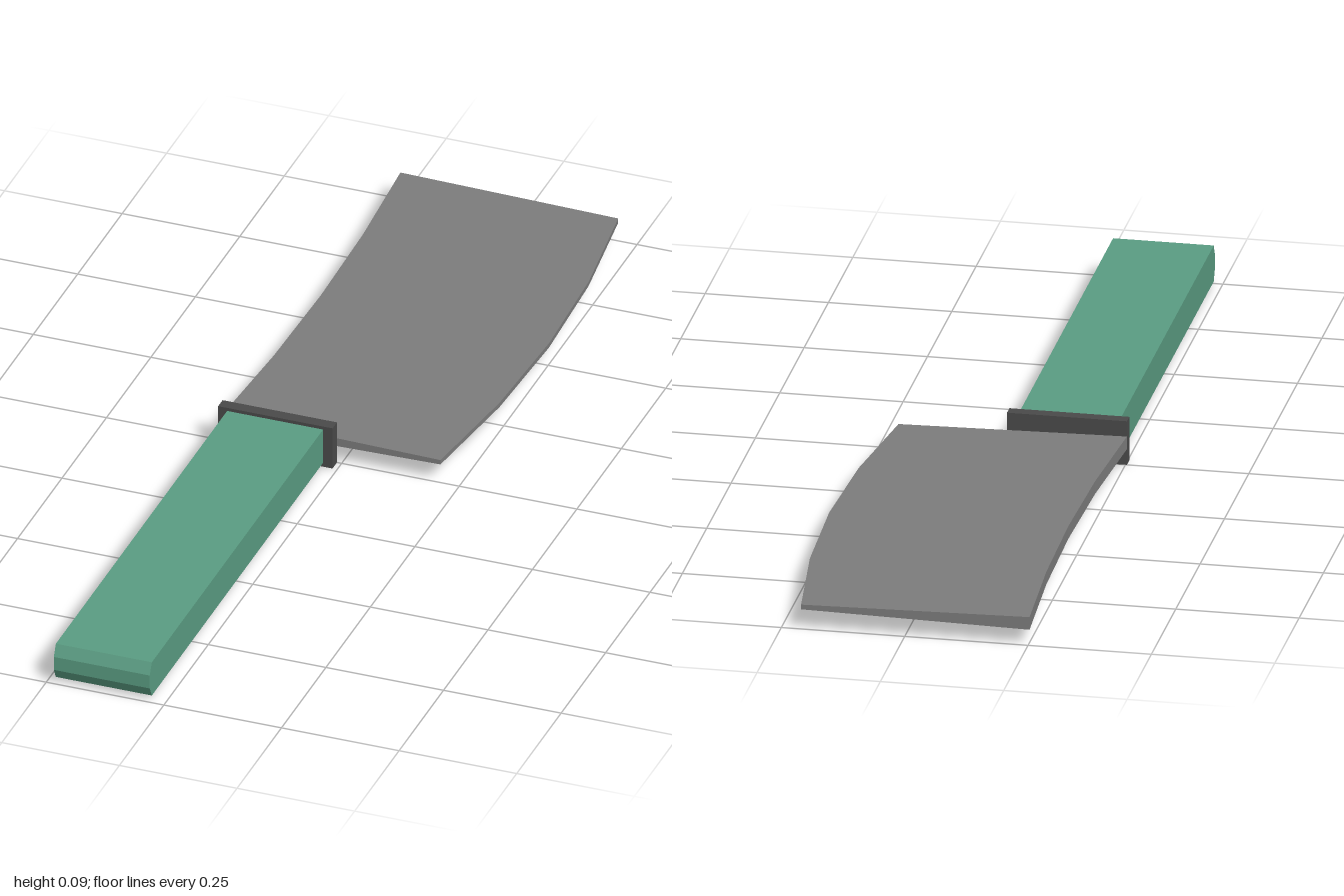
import * as THREE from 'three';

const material = (color) => new THREE.MeshStandardMaterial({ color, flatShading: true });

function part(name, geometry, color) {
  const mesh = new THREE.Mesh(geometry, material(color));
  mesh.name = name;
  return mesh;
}

// Blade: a box bent sideways along its length and tapered from spine to cutting edge
function bladeGeometry() {
  const midY = 0.047;
  const geometry = new THREE.BoxGeometry(1, 1, 1, 1, 1, 4);
  const p = geometry.attributes.position;
  for (let i = 0; i < p.count; i++) {
    const isEdge = p.getX(i) > 0;
    const bow = 1 - (2 * p.getZ(i)) ** 2;
    const x = isEdge ? 0.21 + 0.042 * bow : -0.253 + 0.02 * bow;
    const half = isEdge ? 0.005 : 0.0135;
    p.setXYZ(i, x, midY + Math.sign(p.getY(i)) * half, p.getZ(i) - 0.5);
  }
  geometry.computeVertexNormals();
  return geometry;
}

// Handle: side profile with a bevelled butt, extruded across its width
function handleGeometry() {
  const profile = [[0.01, 0.009], [0.988, 0.009], [1, 0.032], [1, 0.062], [0.988, 0.086], [0.01, 0.086]];
  const shape = new THREE.Shape(profile.map(([z, y]) => new THREE.Vector2(-z, y)));
  const geometry = new THREE.ExtrudeGeometry(shape, { depth: 0.204, bevelEnabled: false });
  geometry.rotateY(Math.PI / 2);
  geometry.translate(-0.234, 0, 0);
  return geometry;
}

export function createModel() {
  const model = new THREE.Group();
  model.name = 'cleaver';

  // Guard plate between blade and handle
  const guard = new THREE.BoxGeometry(0.243, 0.093, 0.025);
  guard.translate(-0.1315, 0.0465, 0.0125);

  model.add(
    part('blade', bladeGeometry(), 0x7c7c7c),
    part('guard', guard, 0x4a4a4a),
    part('handle', handleGeometry(), 0x5a9c82),
  );
  return model;
}
